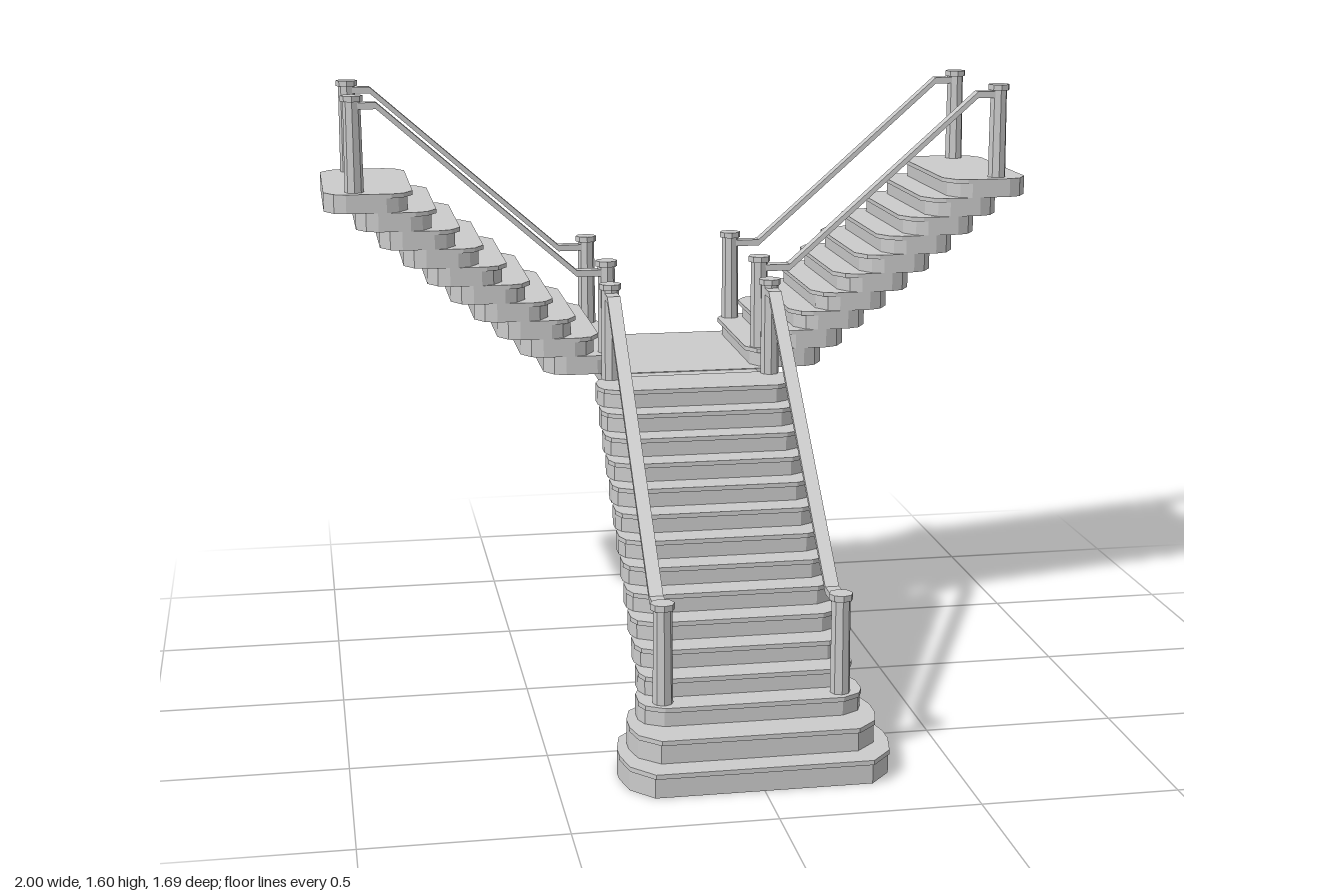
import * as THREE from 'three';

const material = new THREE.MeshStandardMaterial({ color: 0xcccccc, flatShading: true });
const RISE = 0.0525;
const LANDING_Y = 0.813;

function addMesh(parent, name, geometry) {
  const mesh = new THREE.Mesh(geometry, material);
  mesh.name = name;
  parent.add(mesh);
  return mesh;
}

// Slab with cut corners in plan; "near" and "far" are distances along the climb.
function slab(near, far, halfWidth, cut, run, y, height) {
  const side = [
    [halfWidth - cut, near],
    [halfWidth - cut * 0.22, near + run * 0.45],
    [halfWidth, near + run],
    [halfWidth, far - run],
    [halfWidth - cut * 0.22, far - run * 0.45],
    [halfWidth - cut, far],
  ];
  const mirrored = side.map(([x, v]) => [-x, v]).reverse();
  const outline = [...side, ...mirrored].map(([x, v]) => new THREE.Vector2(x, v));
  const geometry = new THREE.ExtrudeGeometry(new THREE.Shape(outline), { depth: height, bevelEnabled: false });
  geometry.rotateX(-Math.PI / 2);
  geometry.translate(0, y, 0);
  return geometry;
}

// A step is a body with a thin nosing that overhangs the front.
function addStep(parent, { near, far, halfWidth = 0.275, cut = 0.058, run = 0.06, top, height = RISE }) {
  const lip = 0.012;
  const step = new THREE.Group();
  step.name = 'step';
  addMesh(step, 'stepBody', slab(near + 0.014, far, halfWidth, cut, run, top - height, height - lip));
  addMesh(step, 'stepNosing', slab(near, far, halfWidth, cut, run, top - lip, lip));
  parent.add(step);
}

// Eight-sided newel post with a slightly wider cap.
function addPost(parent, x, z, base, top) {
  const post = new THREE.Group();
  post.name = 'newelPost';
  const height = top - base;
  addMesh(post, 'postShaft', new THREE.CylinderGeometry(0.024, 0.026, height, 8)).position.y = height / 2;
  addMesh(post, 'postCap', new THREE.CylinderGeometry(0.031, 0.031, 0.016, 8)).position.y = height - 0.008;
  post.position.set(x, base, z);
  parent.add(post);
}

// Flat handrail following points of [distance along climb, height].
function addRail(parent, x, path) {
  const half = 0.009;
  const width = 0.036;
  const upper = path.map(([v, y]) => new THREE.Vector2(v, y + half));
  const lower = path.map(([v, y]) => new THREE.Vector2(v, y - half)).reverse();
  const geometry = new THREE.ExtrudeGeometry(new THREE.Shape([...lower, ...upper]), { depth: width, bevelEnabled: false });
  geometry.translate(0, 0, -width / 2);
  geometry.rotateY(Math.PI / 2);
  addMesh(parent, 'handrail', geometry).position.x = x;
}

function lowerFlight() {
  const flight = new THREE.Group();
  flight.name = 'lowerFlight';
  // Two wide starting steps
  addStep(flight, { near: -0.84, far: -0.51, halfWidth: 0.342, cut: 0.07, run: 0.14, top: 0.066, height: 0.066 });
  addStep(flight, { near: -0.785, far: -0.51, halfWidth: 0.313, cut: 0.065, run: 0.11, top: 0.13, height: 0.064 });
  // Regular steps, counted down from the landing
  for (let k = 0; k < 13; k++) {
    const near = 0.078 - k * 0.065;
    addStep(flight, { near, far: near + 0.178, halfWidth: k === 12 ? 0.285 : 0.275, top: LANDING_Y - k * RISE });
  }
  for (const x of [-0.226, 0.226]) {
    addPost(flight, x, 0.658, 0.18, 0.443);
    addPost(flight, x, -0.237, LANDING_Y, 1.083);
    addRail(flight, x, [[-0.655, 0.42], [-0.56, 0.42], [0.165, 1.05], [0.235, 1.05]]);
  }
  return flight;
}

function upperFlight(name, direction) {
  const flight = new THREE.Group();
  flight.name = name;
  for (let i = 0; i < 10; i++) {
    const near = 0.18 + i * 0.064;
    addStep(flight, { near, far: i === 9 ? 1 : near + 0.222, top: LANDING_Y + (i + 1) * RISE });
  }
  for (const x of [-0.223, 0.223]) {
    addPost(flight, x, -0.22, LANDING_Y + RISE, 1.128);
    addPost(flight, x, -0.915, LANDING_Y + 10 * RISE, 1.603);
    addRail(flight, x, [[0.22, 1.095], [0.305, 1.095], [0.85, 1.575], [0.91, 1.575]]);
  }
  flight.rotation.y = -direction * Math.PI / 2;
  flight.position.z = -0.58;
  return flight;
}

function landing() {
  const group = new THREE.Group();
  group.name = 'landing';
  const box = (name, w, h, d, y, z) => addMesh(group, name, new THREE.BoxGeometry(w, h, d)).position.set(0, y, z);
  box('landingSlab', 0.47, 0.036, 0.53, 0.783, -0.567);
  box('landingTop', 0.48, 0.012, 0.55, 0.807, -0.575);
  box('landingNeck', 0.4, 0.046, 0.12, 0.788, -0.25);
  return group;
}

export function createModel() {
  const model = new THREE.Group();
  model.name = 'splitStaircase';
  model.add(lowerFlight(), landing(), upperFlight('leftUpperFlight', 1), upperFlight('rightUpperFlight', -1));
  return model;
}
